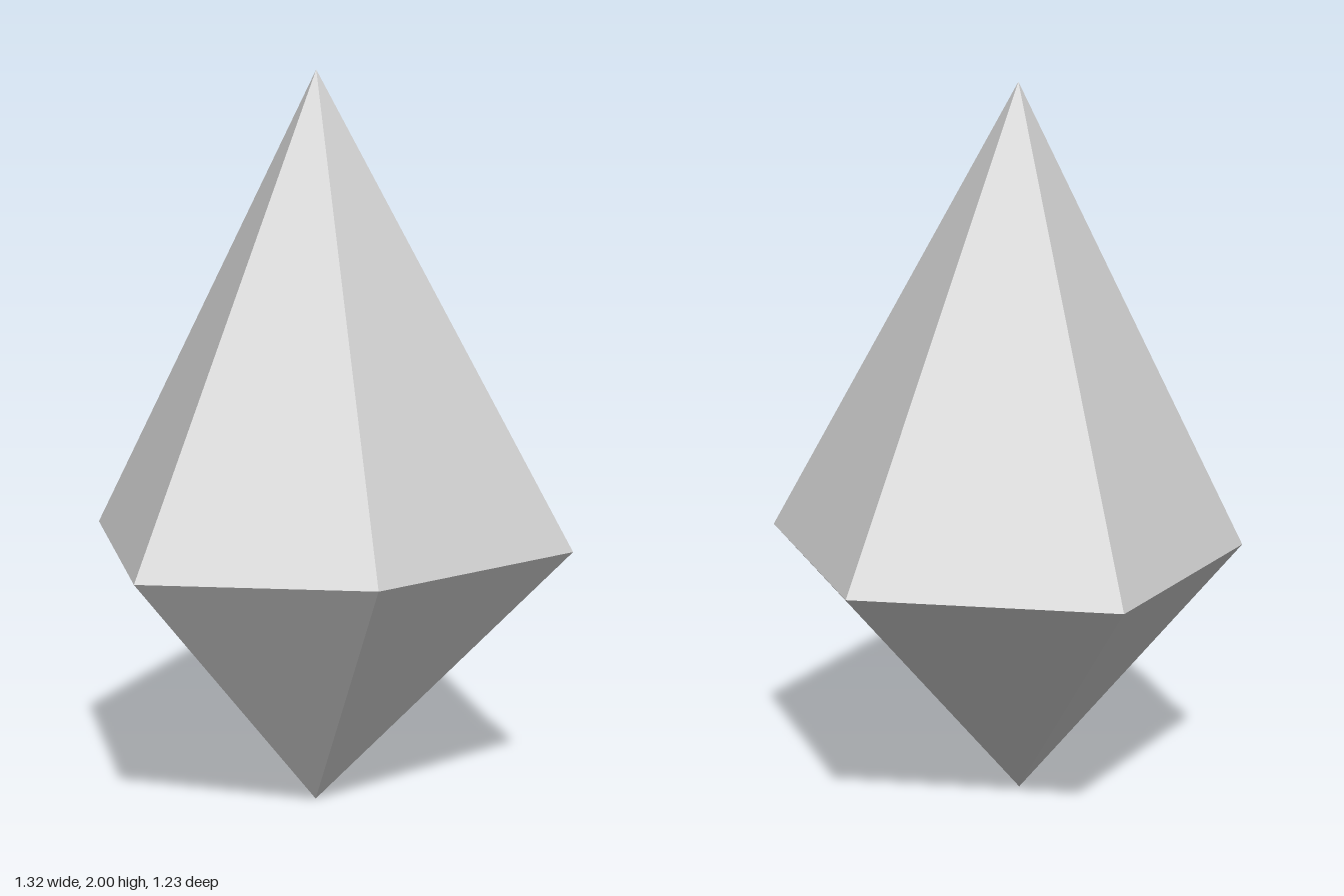
import * as THREE from 'three';

// Girdle corners (x, z), clockwise as seen from above
const RING = [
  [0.16, -0.615], [0.66, -0.108], [0.468, 0.569],
  [-0.167, 0.611], [-0.66, 0.244], [-0.46, -0.36],
];
const RING_Y = 0.754;
const TIP = [-0.026, 0.079];

// Fan of flat facets from the girdle to a tip
function facets(tipY) {
  const tip = [TIP[0], tipY, TIP[1]];
  const positions = [];
  RING.forEach(([x, z], i) => {
    const [nx, nz] = RING[(i + 1) % RING.length];
    const a = [x, RING_Y, z];
    const b = [nx, RING_Y, nz];
    positions.push(...tip, ...(tipY > RING_Y ? [...b, ...a] : [...a, ...b]));
  });
  const geometry = new THREE.BufferGeometry();
  geometry.setAttribute('position', new THREE.Float32BufferAttribute(positions, 3));
  geometry.computeVertexNormals();
  return geometry;
}

export function createModel() {
  const group = new THREE.Group();
  group.name = 'crystal';
  const material = new THREE.MeshStandardMaterial({ color: 0xcccccc });
  material.name = 'light grey';
  material.flatShading = true;

  // Tall crown above the girdle, shorter point below
  for (const [name, tipY] of [['upperCrystal', 2], ['lowerCrystal', 0]]) {
    const mesh = new THREE.Mesh(facets(tipY), material);
    mesh.name = name;
    group.add(mesh);
  }
  return group;
}
